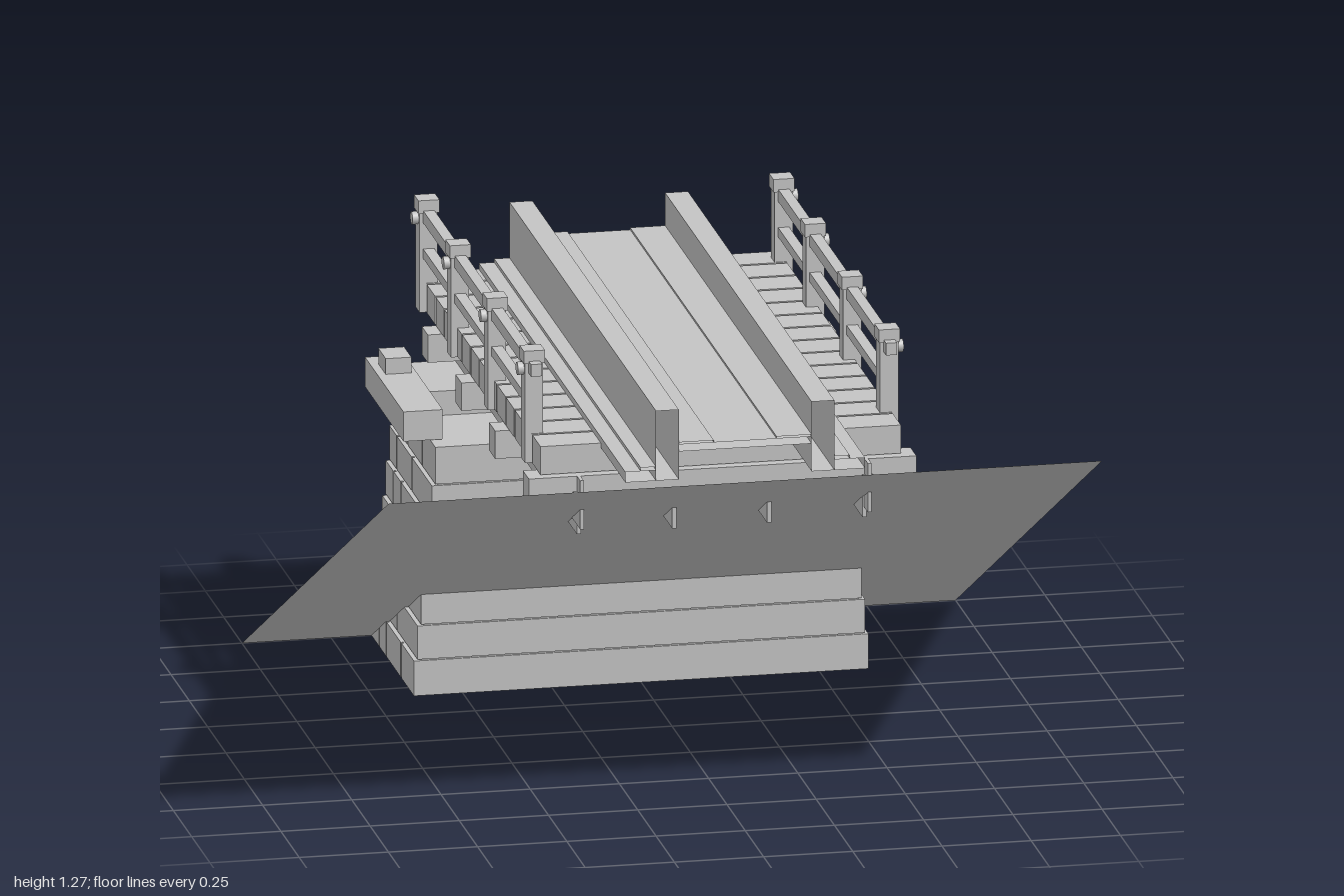
import * as THREE from 'three';

export function createModel() {
  const model = new THREE.Group();
  const grey = new THREE.MeshStandardMaterial({ color: 0xc4c4c4, side: THREE.DoubleSide });
  grey.name = 'stone grey';

  const group = (name) => {
    const g = new THREE.Group();
    g.name = name;
    model.add(g);
    return g;
  };
  const add = (parent, name, geometry) => {
    const m = new THREE.Mesh(geometry, grey);
    m.name = name;
    parent.add(m);
    return m;
  };
  // Box given by its limits; open boxes lose both z ends
  const box = (parent, name, x0, x1, y0, y1, z0, z1, open = false) => {
    const g = new THREE.BoxGeometry(Math.abs(x1 - x0), y1 - y0, z1 - z0);
    if (open) {
      g.setIndex(Array.from(g.index.array).slice(0, 24));
      g.clearGroups();
    }
    const m = add(parent, name, g);
    m.position.set((x0 + x1) / 2, (y0 + y1) / 2, (z0 + z1) / 2);
    return m;
  };
  // Round bolt head lying along x
  const bolt = (parent, x, y, z, r, length) => {
    const m = add(parent, 'bolt', new THREE.CylinderGeometry(r, r, length, 10));
    m.rotation.z = Math.PI / 2;
    m.position.set(x, y, z);
  };

  // Sloping ground sheet, rising towards the front
  const ground = add(model, 'slopingGround', new THREE.PlaneGeometry(2, Math.sqrt(5)));
  ground.rotation.x = -Math.PI / 2 + Math.atan(-0.5);
  ground.position.y = 0.5;

  // Stone abutment: tapering courses, jointed blocks on the sides and back
  const abutment = group('abutment');
  for (let k = 0; k < 7; k++) {
    const w = 0.637 - k * 0.01, y0 = k * 0.1 + (k ? 0.004 : 0), y1 = k === 6 ? 0.71 : k * 0.1 + 0.1;
    box(abutment, 'courseCore', -w + 0.008, w - 0.008, k * 0.1, y1, -0.992, -0.424);
    box(abutment, 'frontCourse', -w, w, y0, y1, -0.5, -0.42);
    const shift = k % 2 ? 0.105 : 0;
    for (let x = -w - shift; x < w; x += 0.212) {
      const a = Math.max(x, -w), b = Math.min(x + 0.204, w);
      if (b - a > 0.02) box(abutment, 'backBlock', a, b, y0, y1, -1, -0.9);
    }
    for (const s of [-1, 1]) {
      const cuts = k % 2 ? [-0.9, -0.7, -0.5] : [-0.9, -0.8, -0.6, -0.5];
      for (let i = 0; i + 1 < cuts.length; i++)
        box(abutment, 'sideBlock', s * (w - 0.05), s * w, y0, y1, cuts[i] + 0.008, cuts[i + 1]);
    }
  }
  box(abutment, 'bearingSeat', -0.56, 0.56, 0.71, 0.78, -0.99, -0.71);
  for (const s of [-1, 1]) {
    box(abutment, 'capStone', s * 0.545, s * 0.655, 0.715, 0.8, -1, -0.475);
    box(abutment, 'capBlock', s * 0.56, s * 0.632, 0.8, 0.845, -0.93, -0.83);
  }

  // Thin lengthwise girders with bolted plates on the outer pair
  const girders = group('girders');
  for (const x of [-0.4, -0.133, 0.133, 0.4])
    box(girders, 'girder', x - 0.006, x + 0.006, 0.78, 0.95, -1, 0.68);
  for (const s of [-1, 1]) {
    for (const [z0, z1, zb] of [[0.59, 0.735, 0.7], [-0.31, -0.165, -0.2], [-0.8, -0.655, -0.77]]) {
      box(girders, 'splicePlate', s * 0.398, s * 0.408, 0.81, 0.95, z0, z1);
      bolt(girders, s * 0.405, 0.89, zb, 0.018, 0.03);
    }
  }

  // Cross beams and deck planks
  const deck = group('deck');
  for (const z of [0.65, 0.19, -0.27, -0.73])
    box(deck, 'crossBeam', -0.543, 0.543, 0.87, 0.95, z - 0.041, z + 0.041);
  for (let k = -1; k < 13; k++) {
    const z0 = Math.max(-1, -0.885 + k * 0.12), z1 = -0.775 + k * 0.12;
    box(deck, 'plank', -0.505, 0.505, 0.952, 1.033, z0, z1);
  }

  // Raised track trough, open at both ends
  const track = group('trackTrough');
  box(track, 'floor', -0.186, 0.186, 1.1, 1.12, -1, 1, true);
  for (const s of [-1, 1]) {
    box(track, 'sideWall', s * 0.186, s * 0.25, 1.02, 1.22, -1, 1, true);
    box(track, 'outerFoot', s * 0.25, s * 0.336, 1.02, 1.05, -1, 1, true);
    box(track, 'outerRib', s * 0.25, s * 0.293, 1.05, 1.06, -1, 1, true);
    box(track, 'innerStrip', s * 0.088, s * 0.186, 1.12, 1.126, -1, 1, true);
  }

  // Railings on both sides
  for (const s of [-1, 1]) {
    const railing = group(s > 0 ? 'leftRailing' : 'rightRailing');
    for (const z of [0.515, 0.01, -0.495, -0.925]) {
      box(railing, 'post', s * 0.472, s * 0.523, 0.95, 1.24, z - 0.026, z + 0.026);
      box(railing, 'postCap', s * 0.468, s * 0.527, 1.235, 1.272, z - 0.03, z + 0.03);
      bolt(railing, s * 0.528, 1.215, z, 0.018, 0.025);
    }
    box(railing, 'topRail', s * 0.482, s * 0.513, 1.207, 1.242, -1, 0.575);
    box(railing, 'middleRail', s * 0.482, s * 0.513, 1.105, 1.132, -1, 0.54);
  }
  return model;
}
